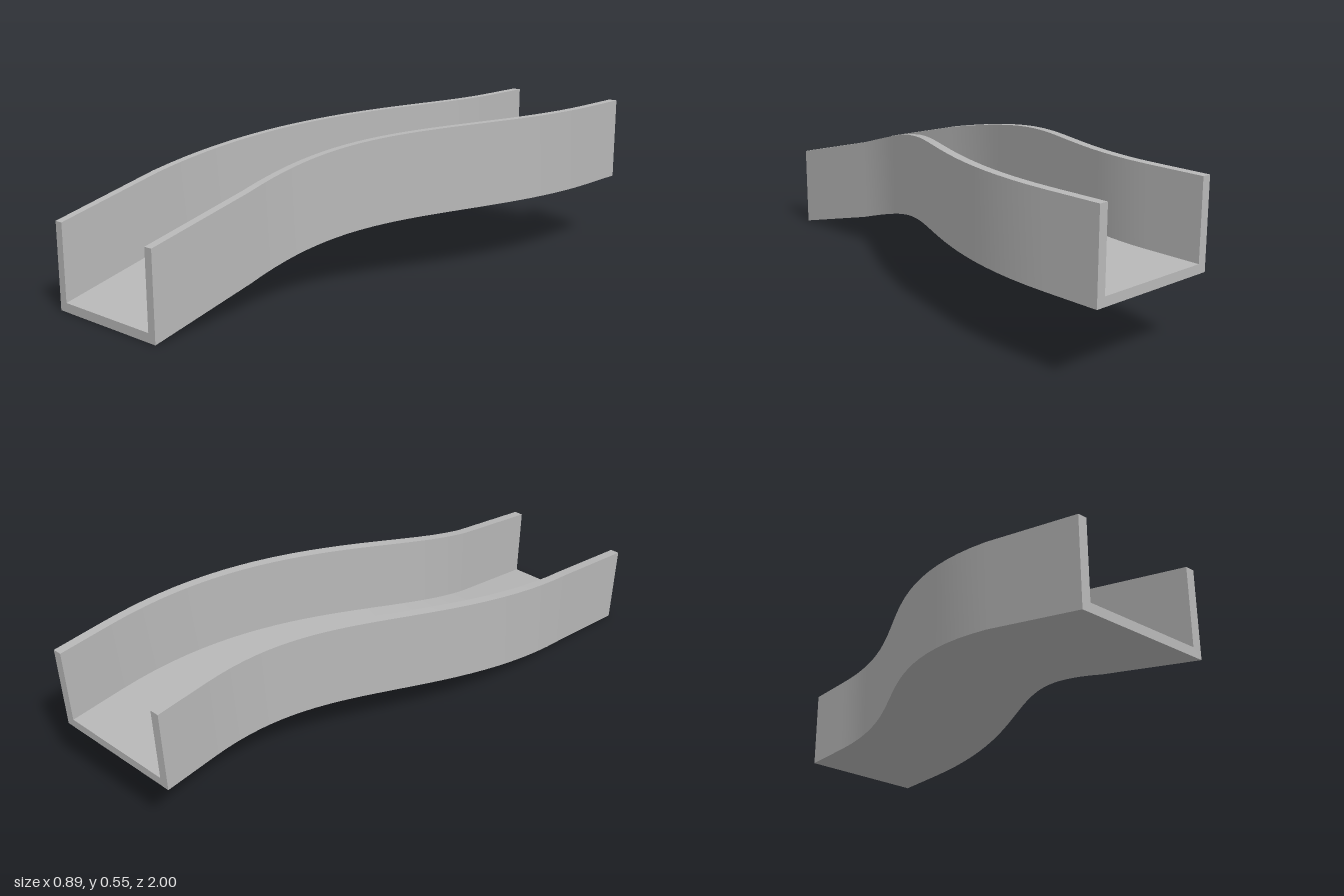
import * as THREE from 'three';

// Half width, wall height, wall thickness and floor thickness of the channel
const W = 0.2435, H = 0.304, T = 0.032, F = 0.032;

// U-shaped cross-section, counter-clockwise seen from the front
const profile = [
  [-W, 0], [W, 0], [W, H], [W - T, H], [W - T, F], [-W + T, F], [-W + T, H], [-W, H],
].map(([u, v]) => new THREE.Vector2(u, v));

// Stations along the centre line: ramp, rising S-bend, level run
function makeStations() {
  const p = (x, y, z) => new THREE.Vector3(x, y, z);
  const bend = new THREE.CubicBezierCurve3(
    p(-0.2035, 0.1, 0.6), p(-0.2035, 0.249, 0), p(0.2035, 0.249, -0.2), p(0.2035, 0.249, -0.8));
  const stations = [{ pos: p(-0.2035, 0, 1), side: p(1, 0, 0) }];
  const n = 28;
  for (let i = 0; i <= n; i++) {
    const t = bend.getTangent(i / n);
    // the section stays upright and turns with the plan direction
    stations.push({ pos: bend.getPoint(i / n), side: p(-t.z, 0, t.x).normalize() });
  }
  stations.push({ pos: p(0.2035, 0.249, -1), side: p(1, 0, 0) });
  return stations;
}

function sweepChannel() {
  const stations = makeStations();
  const positions = [], index = [];
  const put = (s, q) => {
    const v = s.pos.clone().addScaledVector(s.side, q.x);
    positions.push(v.x, v.y + q.y, v.z);
  };

  // One strip per profile edge: smooth lengthwise, sharp across the edges
  profile.forEach((q, j) => {
    const next = profile[(j + 1) % profile.length];
    const base = positions.length / 3;
    stations.forEach((s, i) => {
      put(s, q);
      put(s, next);
      if (i === 0) return;
      const a = base + 2 * (i - 1), b = a + 1, d = a + 2, c = a + 3;
      index.push(a, d, b, b, d, c);
    });
  });

  // End faces
  const faces = THREE.ShapeUtils.triangulateShape(profile, []);
  [[stations[0], false], [stations[stations.length - 1], true]].forEach(([s, flip]) => {
    const base = positions.length / 3;
    profile.forEach((q) => put(s, q));
    faces.forEach(([a, b, c]) => index.push(base + a, base + (flip ? c : b), base + (flip ? b : c)));
  });

  const geometry = new THREE.BufferGeometry();
  geometry.setAttribute('position', new THREE.Float32BufferAttribute(positions, 3));
  geometry.setIndex(index);
  geometry.computeVertexNormals();
  return geometry;
}

export function createModel() {
  const group = new THREE.Group();
  group.name = 'curvedChannel';
  const grey = new THREE.MeshStandardMaterial({ color: 0xb8b8b8 });
  grey.name = 'grey';
  const channel = new THREE.Mesh(sweepChannel(), grey);
  channel.name = 'channel';
  group.add(channel);
  return group;
}
